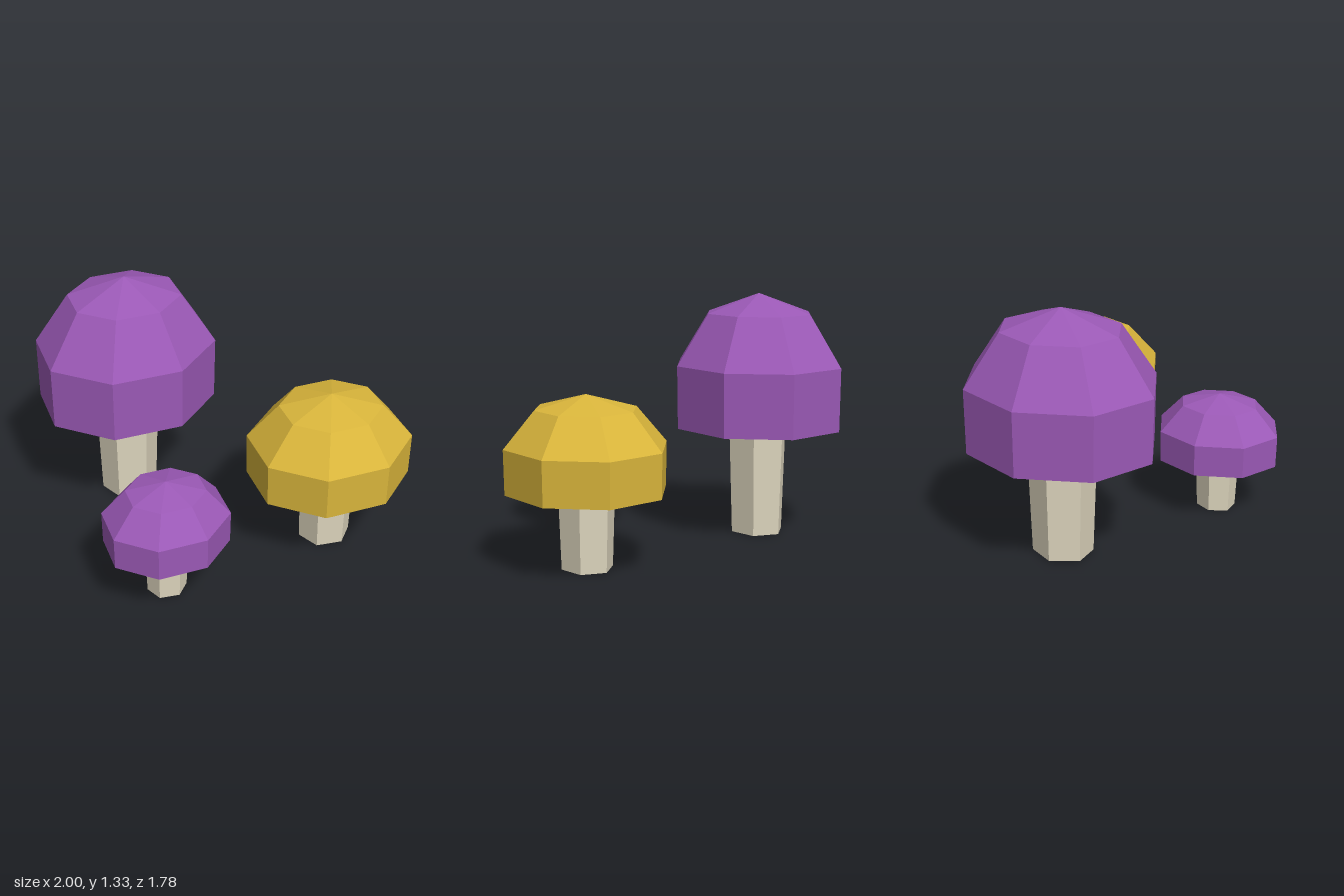
import * as THREE from 'three';

const paint = (name, color) => {
  const m = new THREE.MeshStandardMaterial({ color, flatShading: true });
  m.name = name;
  return m;
};

// Caps and stems are a little narrower in x than in z
const NARROW = 0.91;

export function createModel() {
  const model = new THREE.Group();
  model.name = 'mushrooms';
  const purple = paint('purple', 0x9b59b6);
  const gold = paint('gold', 0xd9b53b);
  const cream = paint('cream', 0xddd5bd);

  // cap: [underside, widest, shoulder, tip] heights; radii are measured along z
  function mushroom(name, x, z, capMaterial, capRadius, cap, stemBottom, stemTop) {
    const group = new THREE.Group();
    group.name = name;
    group.position.set(x, 0, z);
    group.scale.x = NARROW;

    // Eight-sided faceted cap with a flat underside
    const [under, wide, shoulder, tip] = cap;
    const profile = [[0, under], [0.99, under], [1, wide], [0.625, shoulder], [0, tip]]
      .map(([r, y]) => new THREE.Vector2(r * capRadius, y));
    const capMesh = new THREE.Mesh(new THREE.LatheGeometry(profile, 8), capMaterial);
    capMesh.name = 'cap';

    // Six-sided stem, widening upward, with corners on the x axis
    const stemGeometry = new THREE.CylinderGeometry(stemTop, stemBottom, under, 6, 1, false, Math.PI / 2);
    stemGeometry.translate(0, under / 2, 0);
    const stem = new THREE.Mesh(stemGeometry, cream);
    stem.name = 'stem';

    group.add(capMesh, stem);
    model.add(group);
  }

  mushroom('tallMushroom', -0.527, 0.057, purple, 0.519, [0.6, 0.945, 1.226, 1.334], 0.163, 0.184);
  mushroom('goldMushroom', 0.577, -0.427, gold, 0.463, [0.4, 0.63, 0.817, 0.889], 0.147, 0.162);
  mushroom('smallMushroom', 0.355, 0.542, purple, 0.346, [0.3, 0.472, 0.612, 0.666], 0.108, 0.121);
  return model;
}
